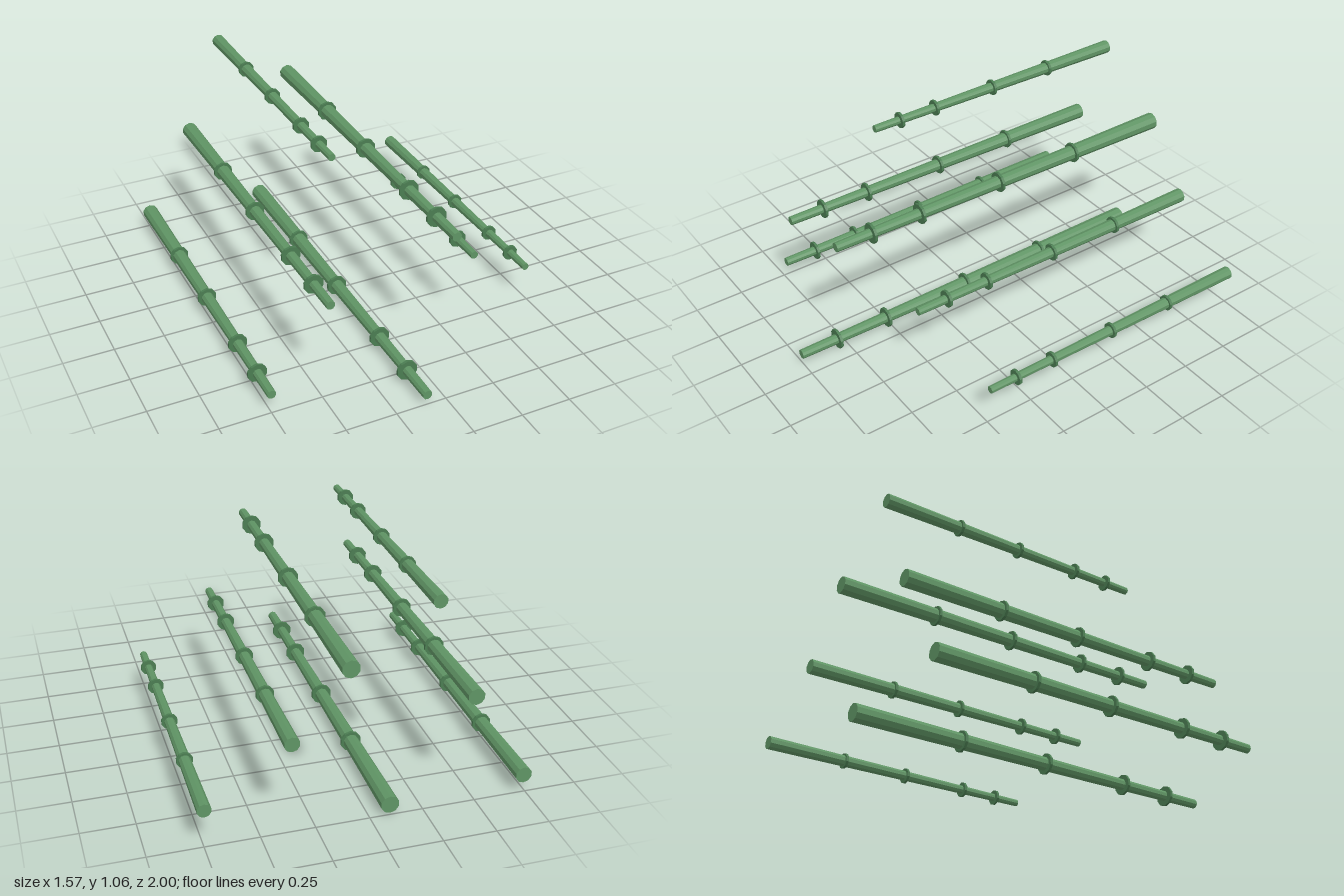
import * as THREE from 'three';

// Each stalk: x, y, front z, thick (rear) radius
const STALKS = [
  [-0.74, 0.088, 0.735, 0.04],
  [-0.48, 0.538, 0.805, 0.04],
  [-0.288, 1.023, 0.415, 0.033],
  [-0.095, 0.052, 1.0, 0.043],
  [0.098, 0.763, 0.868, 0.042],
  [0.355, 0.442, 0.61, 0.036],
  [0.743, 0.184, 0.48, 0.033],
];
const BACK = -1;
const NODES = [0.28, 0.52, 0.76, 0.9]; // ring positions along the length
const SIDES = 10;

const stalkMaterial = new THREE.MeshStandardMaterial({ color: 0x5f9464, flatShading: true });
const ringMaterial = new THREE.MeshStandardMaterial({ color: 0x4b7d52, flatShading: true });

// Cylinder lying along z, its first radius at the front
function rod(name, frontRadius, backRadius, length, z, material) {
  const geometry = new THREE.CylinderGeometry(frontRadius, backRadius, length, SIDES);
  geometry.rotateX(Math.PI / 2);
  const mesh = new THREE.Mesh(geometry, material);
  mesh.name = name;
  mesh.position.z = z;
  return mesh;
}

function createStalk([x, y, front, radius]) {
  const stalk = new THREE.Group();
  stalk.name = 'bambooStalk';
  stalk.position.set(x, y, 0);
  const length = front - BACK;

  // Tapered cane
  stalk.add(rod('cane', radius * 0.55, radius, length, (front + BACK) / 2, stalkMaterial));

  // Raised node rings
  for (const t of NODES) {
    stalk.add(rod('nodeRing', radius * 1.2, radius * 1.2, 0.013, BACK + length * t, ringMaterial));
  }
  return stalk;
}

export function createModel() {
  const model = new THREE.Group();
  model.name = 'bambooStalks';
  for (const spec of STALKS) model.add(createStalk(spec));
  return model;
}
